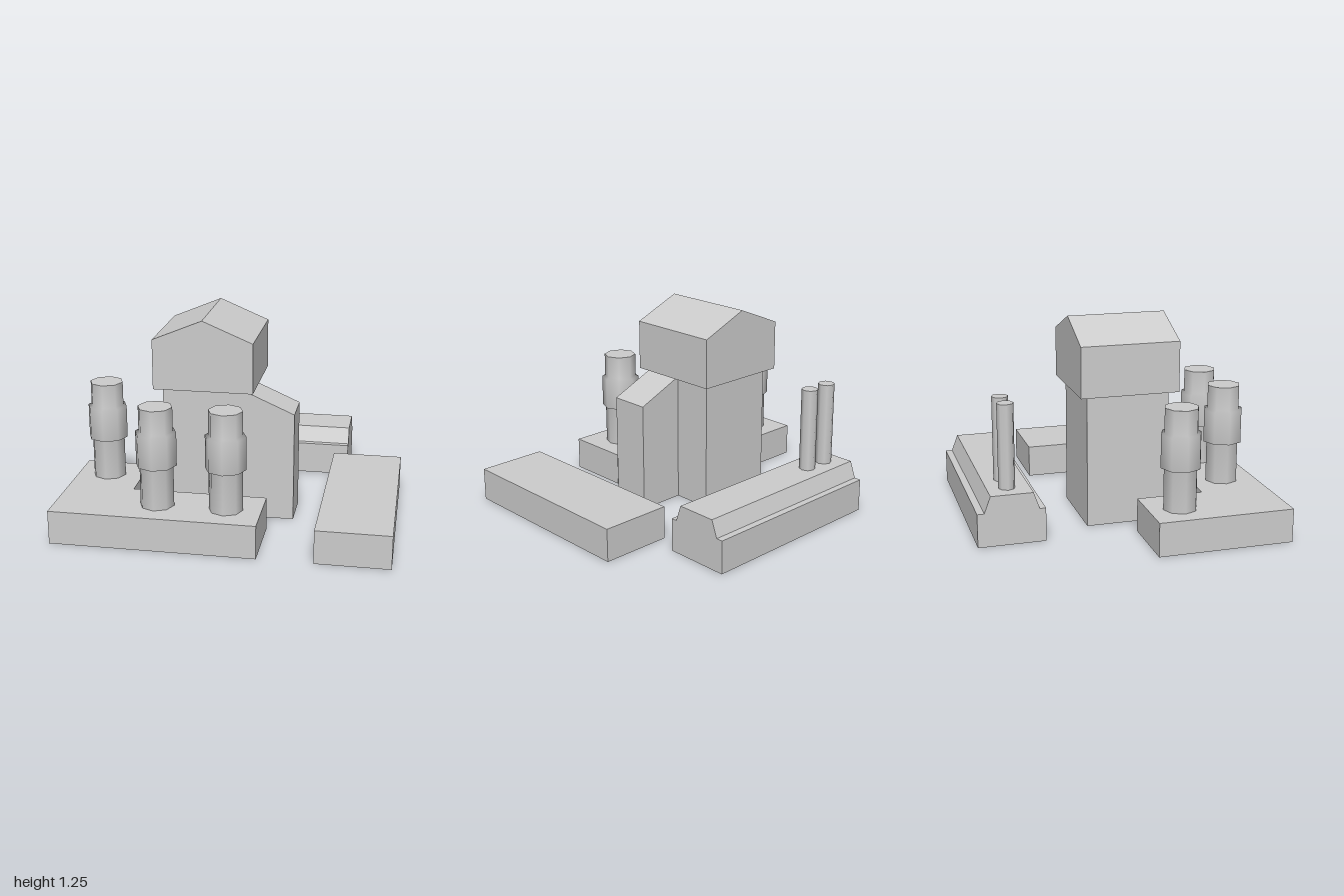
import * as THREE from 'three';

export function createModel() {
  const model = new THREE.Group();
  model.name = 'industrialComplex';
  const grey = new THREE.MeshStandardMaterial({ color: 0xcccccc });
  grey.name = 'plain grey';

  const add = (name, geometry) => {
    const mesh = new THREE.Mesh(geometry, grey);
    mesh.name = name;
    model.add(mesh);
    return mesh;
  };
  const prism = (points, depth) => new THREE.ExtrudeGeometry(
    new THREE.Shape(points.map(([a, b]) => new THREE.Vector2(a, b))),
    { depth, bevelEnabled: false });
  const block = (name, [x0, x1], [y0, y1], [z0, z1]) =>
    add(name, new THREE.BoxGeometry(x1 - x0, y1 - y0, z1 - z0)
      .translate((x0 + x1) / 2, (y0 + y1) / 2, (z0 + z1) / 2));

  const base = 0.205;

  // L-shaped platform, outlined in plan as (x, -z)
  add('stackPlatform', prism([
    [-1, -0.89], [0.23, -0.89], [0.23, -0.48], [-0.59, -0.48], [-0.59, -0.07], [-1, -0.07],
  ], base).rotateX(-Math.PI / 2));

  // Low hall on the left side
  block('sideHall', [0.56, 1], [0, base], [-0.335, 0.89]);

  // Rear hall with a raised, sloping roof, outlined as (-z, y)
  add('rearHall', prism([
    [0.485, 0], [0.89, 0], [0.89, base], [0.848, base], [0.81, 0.307],
    [0.557, 0.307], [0.522, base], [0.485, base],
  ], 1.23).rotateY(Math.PI / 2).translate(-0.59, 0, 0));

  // Tower body, overhanging gabled head and lean-to
  block('towerBody', [-0.435, 0.075], [0, 0.82], [-0.195, 0.31]);
  add('towerHead', prism([
    [-0.485, 0.812], [0.125, 0.812], [0.125, 1.12], [-0.18, 1.247], [-0.485, 1.12],
  ], 0.605).translate(0, 0, -0.245));
  add('towerLeanTo', prism([
    [0.075, 0], [0.37, 0], [0.37, 0.68], [0.125, 0.787], [0.075, 0.809],
  ], 0.25).translate(0, 0, 0.06));

  // Eight-sided stacks with a wider collar
  const profile = [
    [0.102, base], [0.102, 0.455], [0.122, 0.46], [0.122, 0.66], [0.102, 0.67], [0.102, 0.815],
  ].map(([r, y]) => new THREE.Vector2(r, y));
  [[-0.803, 0.26], [-0.392, 0.68], [0.02, 0.68]].forEach(([x, z]) => {
    add('stack', new THREE.LatheGeometry(profile, 8)).position.set(x, 0, z);
    add('stackTop', new THREE.CircleGeometry(0.102, 8).rotateX(-Math.PI / 2))
      .position.set(x, 0.815, z);
  });

  // Thin chimneys on the rear hall
  [-0.465, -0.31].forEach((x) => {
    add('chimney', new THREE.CylinderGeometry(0.05, 0.05, 0.52, 8)).position.set(x, 0.56, -0.69);
  });

  return model;
}
